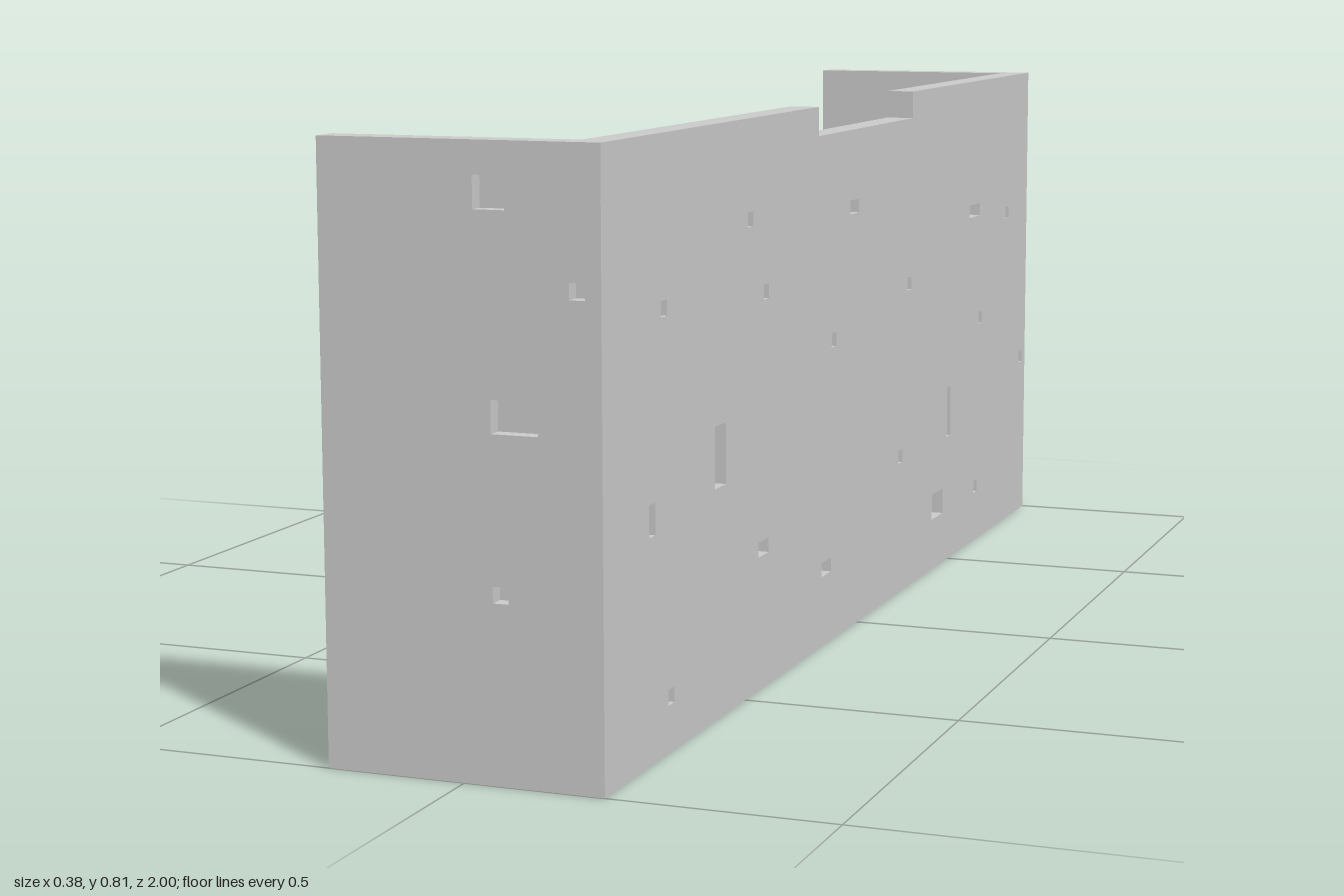
import * as THREE from 'three';
import { mergeGeometries } from 'three/addons/utils/BufferGeometryUtils.js';

const U = 2 / 94; // one grid unit: the wall is 94 long, 38 high, 18 deep and 2 thick
const X = new THREE.Vector3(1, 0, 0), Y = new THREE.Vector3(0, 1, 0), Z = new THREE.Vector3(0, 0, 1);
const NX = X.clone().negate(), NZ = Z.clone().negate();

const rect = (a, b, c, d) => [[a, b], [c, b], [c, d], [a, d]];
const toPath = (points, Type) => new Type(points.map(([a, b]) => new THREE.Vector2(a, b)));

// Inward-facing pocket, one unit deep, open towards local +z
function pocket([a, b, w, h]) {
  const box = new THREE.BoxGeometry(w, h, 1).translate(a + w / 2, b + h / 2, -0.5);
  const index = Array.from(box.index.array);
  index.splice(24, 6);
  box.setIndex(index.reverse());
  const g = box.toNonIndexed();
  g.computeVertexNormals();
  return g;
}

// Flat face spanned by axes u and v, lying at `offset` along its normal, with recessed pockets
function face(u, v, offset, outline, pockets = []) {
  const shape = toPath(outline, THREE.Shape);
  for (const [a, b, w, h] of pockets) shape.holes.push(toPath(rect(a, b, a + w, b + h), THREE.Path));
  const parts = [new THREE.ShapeGeometry(shape).toNonIndexed(), ...pockets.map(pocket)];
  const n = u.clone().cross(v);
  const m = new THREE.Matrix4().makeBasis(u, v, n).setPosition(n.clone().multiplyScalar(offset));
  return mergeGeometries(parts).applyMatrix4(m).scale(U, U, U);
}

// Pockets as [start, bottom, width, height] along z on the long wall and along x on the ends
const wallPockets = [
  [37, 27, 1, 1], [22, 31, 1, 1], [19, 26, 1, 1], [0, 30, 2, 1], [-32, 27, 3, 1],
  [-41, 26, 1, 1], [-13, 23, 1, 1], [5, 21, 1, 1], [39, 14, 1, 2], [27, 15, 2, 4],
  [19, 9, 2, 1], [36, 3, 1, 1], [6, 5, 2, 1], [-11, 10, 1, 1], [-24, 10, 1, 4],
  [-33, 18, 1, 1], [-46, 13, 1, 1], [-22, 4, 3, 2], [-32, 4, 1, 1],
];
const frontPockets = [[1, 34, 2, 2], [7, 29, 1, 1], [2, 21, 3, 2], [2, 11, 1, 1]];
const backPockets = [[-3, 24, 1, 6], [3, 10, 2, 1]];
const mirrorPockets = list => list.map(([a, b, w, h]) => [-a - w, b, w, h]);

// Long wall outline with the notch in its top edge; n0 < n1 are the notch ends
const notched = (half, n0, n1) => [
  [-half, 0], [half, 0], [half, 38], [n1, 38], [n1, 36], [n0, 36], [n0, 38], [-half, 38],
];

export function createModel() {
  const group = new THREE.Group();
  const material = new THREE.MeshStandardMaterial({ color: 0xcccccc, flatShading: true });
  const add = (name, ...faces) => {
    const mesh = new THREE.Mesh(mergeGeometries(faces), material);
    mesh.name = name;
    group.add(mesh);
  };

  // Long wall: outside, inside and the notch
  add('longWall',
    face(NZ, Y, 9, notched(47, -9, 13), mirrorPockets(wallPockets)),
    face(Z, Y, -7, notched(45, -13, 9)));
  add('notch',
    face(X, NZ, 36, rect(7, -9, 9, 13)),
    face(NX, Y, -9, rect(-9, 36, -7, 38)),
    face(X, Y, -13, rect(7, 36, 9, 38)));

  // End walls: outside, inside and free edge
  add('frontEndWall',
    face(X, Y, 47, rect(-9, 0, 9, 38), frontPockets),
    face(NX, Y, -45, rect(-7, 0, 9, 38)),
    face(Z, Y, 9, rect(45, 0, 47, 38)));
  add('backEndWall',
    face(NX, Y, 47, rect(-9, 0, 9, 38), mirrorPockets(backPockets)),
    face(X, Y, -45, rect(-9, 0, 7, 38)),
    face(Z, Y, 9, rect(-47, 0, -45, 38)));

  // Top rims either side of the notch, and the U-shaped underside
  add('topRim',
    face(X, NZ, 38, [[-9, -47], [9, -47], [9, -9], [7, -9], [7, -45], [-9, -45]]),
    face(X, NZ, 38, [[-9, 47], [9, 47], [9, 13], [7, 13], [7, 45], [-9, 45]]));
  add('underside',
    face(X, Z, 0, [[-9, -47], [9, -47], [9, 47], [-9, 47], [-9, 45], [7, 45], [7, -45], [-9, -45]]));

  return group;
}
